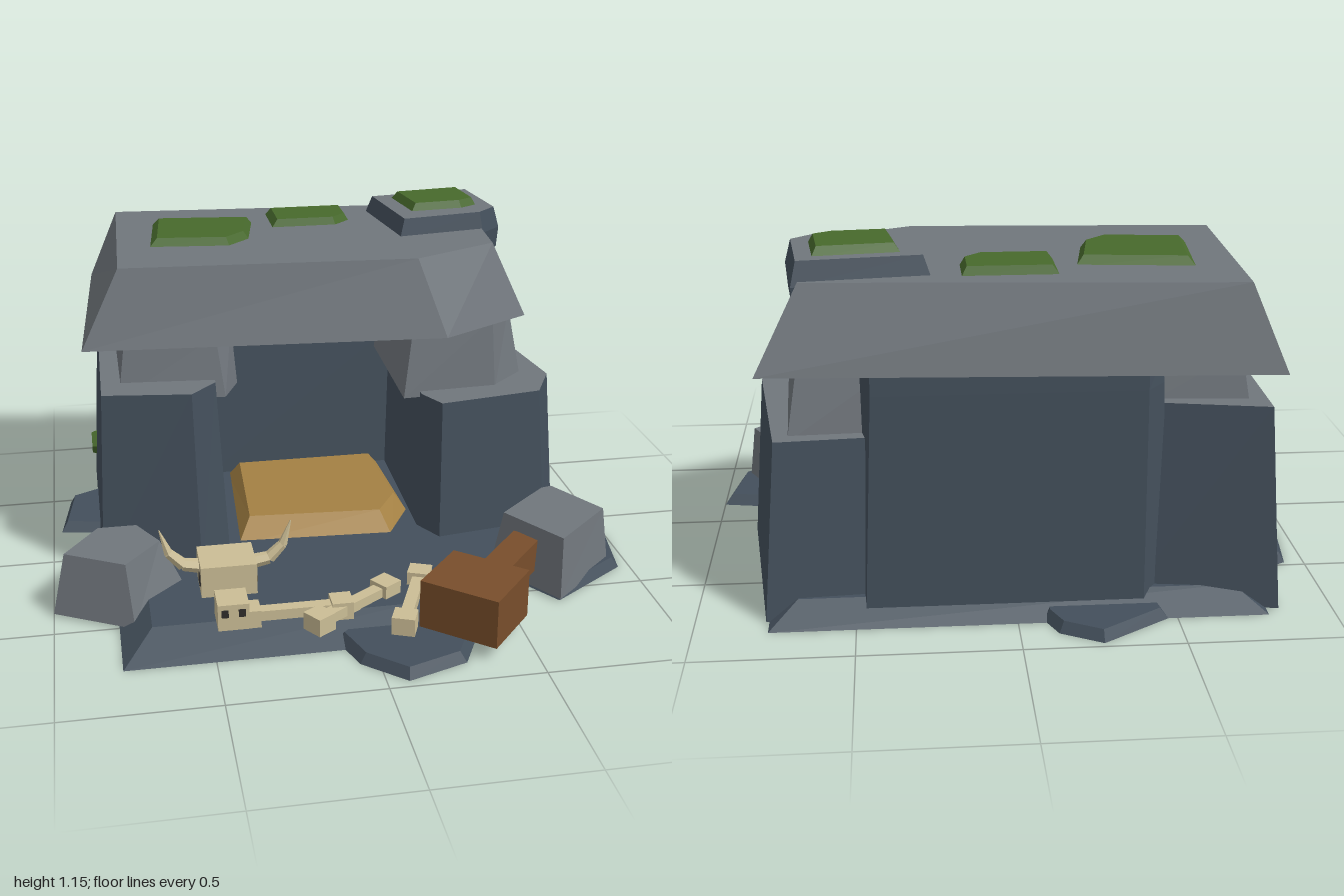
import * as THREE from 'three';

const mat = (name, color) => {
  const m = new THREE.MeshStandardMaterial({ color });
  m.name = name;
  return m;
};

export function createModel() {
  const root = new THREE.Group();
  root.name = 'stoneShelter';
  const slate = mat('slate', 0x434f5b), grey = mat('greyStone', 0x70767c), moss = mat('moss', 0x47692c);
  const straw = mat('straw', 0xa38043), wood = mat('wood', 0x784e2b), bone = mat('bone', 0xcbbd95);
  const dark = mat('socket', 0x2e2c2a);

  const add = (name, geo, material, parent = root) => {
    const m = new THREE.Mesh(geo, material);
    m.name = name;
    parent.add(m);
    return m;
  };

  // Faceted rock from stacked [y, ring of [x, z]] levels; the top face may have its own material
  const rock = (name, levels, side, top = side) => {
    const rings = levels.map(([y, ring]) => {
      const area = ring.reduce((s, p, i) => {
        const q = ring[(i + 1) % ring.length];
        return s + p[0] * q[1] - q[0] * p[1];
      }, 0);
      const r = area > 0 ? [...ring].reverse() : ring;
      return r.map(([x, z]) => [x, y, z]);
    });
    const pos = [], n = rings[0].length, last = rings[rings.length - 1];
    const tri = (...pts) => pts.forEach((p) => pos.push(...p));
    for (let k = 0; k < rings.length - 1; k++) {
      const a = rings[k], b = rings[k + 1];
      for (let i = 0; i < n; i++) {
        const j = (i + 1) % n;
        tri(a[i], a[j], b[j]);
        tri(a[i], b[j], b[i]);
      }
    }
    for (let i = 1; i < n - 1; i++) tri(rings[0][0], rings[0][i + 1], rings[0][i]);
    const split = pos.length / 3;
    for (let i = 1; i < n - 1; i++) tri(last[0], last[i], last[i + 1]);
    const g = new THREE.BufferGeometry();
    g.setAttribute('position', new THREE.Float32BufferAttribute(pos, 3));
    g.computeVertexNormals();
    g.addGroup(0, split, 0);
    g.addGroup(split, pos.length / 3 - split, 1);
    return add(name, g, [side, top]);
  };

  // Ring shrunk towards its middle
  const shrink = (ring, s) => {
    const c = [0, 1].map((k) => ring.reduce((t, p) => t + p[k], 0) / ring.length);
    return ring.map((p) => [c[0] + (p[0] - c[0]) * s, c[1] + (p[1] - c[1]) * s]);
  };

  // Ground slab with low ledges around it
  rock('floor', [
    [0, [[-0.79, 0.76], [0.2, 0.76], [0.56, 0.47], [0.77, 0.25], [0.77, -0.84], [-0.79, -0.84]]],
    [0.07, [[-0.69, 0.63], [0.16, 0.63], [0.5, 0.4], [0.68, 0.2], [0.68, -0.76], [-0.69, -0.76]]],
  ], slate);
  const ledges = [
    [[-0.11, 0.7], [-0.06, 0.85], [0.07, 0.97], [0.27, 0.9], [0.36, 0.72], [0.1, 0.5]],
    [[0.6, 0.2], [0.78, 0.11], [1, 0.15], [0.96, 0.39], [0.68, 0.58], [0.56, 0.4]],
    [[-0.97, -0.23], [-0.935, -0.48], [-0.82, -0.54], [-0.6, -0.5], [-0.6, -0.16]],
    [[-0.47, -0.84], [-0.25, -0.98], [-0.12, -0.91], [-0.08, -0.82], [-0.1, -0.6], [-0.45, -0.6]],
  ];
  ledges.forEach((r) => rock('ledge', [[0, r], [0.035, shrink(r, 0.88)]], slate));

  // Walls
  rock('rightPillar', [
    [0, [[-0.83, 0.13], [-0.49, 0.2], [-0.38, 0.1], [-0.34, -0.73], [-0.83, -0.8]]],
    [0.66, [[-0.8, 0.1], [-0.5, 0.14], [-0.41, 0.04], [-0.37, -0.67], [-0.79, -0.75]]],
  ], slate, grey);
  rock('leftPillar', [
    [0, [[0.3, 0.08], [0.36, 0.19], [0.77, 0.13], [0.865, -0.07], [0.78, -0.77], [0.31, -0.74]]],
    [0.565, [[0.32, 0.04], [0.37, 0.14], [0.74, 0.08], [0.82, -0.08], [0.74, -0.69], [0.33, -0.66]]],
  ], slate, grey);
  rock('backWall', [
    [0, [[-0.48, -0.5], [0.5, -0.5], [0.47, -0.79], [-0.4, -0.79], [-0.48, -0.7]]],
    [0.73, [[-0.46, -0.56], [0.48, -0.56], [0.44, -0.765], [-0.4, -0.765], [-0.46, -0.69]]],
    [0.81, [[-0.45, -0.6], [0.47, -0.6], [0.44, -0.76], [-0.4, -0.76], [-0.45, -0.69]]],
  ], slate);

  // Blocks between the pillars and the roof
  rock('rightCapBlock', [
    [0.6, [[-0.74, 0.0], [-0.375, 0.03], [-0.32, -0.1], [-0.34, -0.65], [-0.74, -0.68]]],
    [0.81, [[-0.71, -0.03], [-0.4, -0.01], [-0.335, -0.12], [-0.36, -0.61], [-0.71, -0.64]]],
  ], grey);
  rock('leftCapBlock', [
    [0.545, [[0.26, 0.02], [0.6, 0.0], [0.73, -0.12], [0.7, -0.64], [0.27, -0.62]]],
    [0.81, [[0.3, -0.02], [0.59, -0.03], [0.68, -0.14], [0.66, -0.58], [0.3, -0.58]]],
  ], grey);

  // Roof slab and the boulder on it
  rock('roof', [
    [0.8, [[-0.855, 0.045], [0.385, 0.125], [0.72, -0.07], [0.78, -0.775], [-0.8, -0.86]]],
    [1.065, [[-0.72, -0.015], [0.295, 0.045], [0.6, -0.105], [0.645, -0.69], [-0.695, -0.785]]],
  ], grey);
  const boulder = [[0.245, -0.635], [0.665, -0.69], [0.7, -0.37], [0.62, -0.295], [0.295, -0.24]];
  rock('roofBoulder', [
    [0.975, shrink(boulder, 0.97)], [1.05, boulder], [1.125, shrink(boulder, 0.9)],
  ], slate, grey);

  // Moss patches
  const patches = [
    [1.06, [[-0.57, -0.58], [-0.2, -0.54], [-0.24, -0.31], [-0.32, -0.23], [-0.6, -0.26]]],
    [1.06, [[-0.14, -0.65], [0.16, -0.65], [0.16, -0.51], [0.1, -0.45], [-0.14, -0.45]]],
    [1.12, [[0.335, -0.58], [0.605, -0.615], [0.625, -0.42], [0.56, -0.38], [0.365, -0.36]]],
  ];
  patches.forEach(([y, r]) => rock('mossPatch', [[y, r], [y + 0.032, shrink(r, 0.86)]], moss));
  const tuft = add('mossTuft', new THREE.CylinderGeometry(0.04, 0.05, 0.03, 6).toNonIndexed(), moss);
  tuft.geometry.computeVertexNormals();
  tuft.rotation.z = Math.PI / 2;
  tuft.position.set(-0.825, 0.17, -0.66);

  // Rocks beside the entrance
  rock('rightFrontRock', [
    [0.01, [[-1, 0.385], [-0.74, 0.53], [-0.545, 0.34], [-0.68, 0.14], [-0.84, 0.15]]],
    [0.22, [[-0.955, 0.37], [-0.76, 0.48], [-0.64, 0.33], [-0.71, 0.2], [-0.84, 0.2]]],
  ], grey);
  rock('leftFrontRock', [
    [0.01, [[0.51, 0.32], [0.68, 0.59], [0.925, 0.37], [0.79, 0.12], [0.74, 0.13]]],
    [0.22, [[0.55, 0.33], [0.69, 0.555], [0.9, 0.36], [0.78, 0.15], [0.74, 0.16]]],
  ], grey);

  // Straw bed
  rock('strawBed', [
    [0.06, [[-0.35, 0.1], [0.2, 0.13], [0.3, -0.05], [0.28, -0.5], [-0.32, -0.5]]],
    [0.13, [[-0.3, 0.02], [0.17, 0.05], [0.25, -0.08], [0.23, -0.45], [-0.28, -0.45]]],
  ], straw);

  const box = (name, w, h, d, x, y, z, m, parent) => {
    const b = add(name, new THREE.BoxGeometry(w, h, d), m, parent);
    b.position.set(x, y, z);
    return b;
  };

  // Wooden mallet
  const mallet = new THREE.Group();
  mallet.name = 'mallet';
  mallet.position.set(0.335, 0, 0.735);
  mallet.rotation.y = -0.71;
  root.add(mallet);
  box('malletHead', 0.27, 0.165, 0.24, 0, 0.13, 0, wood, mallet);
  box('malletHandle', 0.1, 0.11, 0.32, 0, 0.12, -0.26, wood, mallet);

  // Horned skull
  const skull = new THREE.Group();
  skull.name = 'skull';
  skull.position.set(-0.437, 0, 0.52);
  root.add(skull);
  box('cranium', 0.18, 0.105, 0.155, 0, 0.193, 0, bone, skull);
  box('snout', 0.1, 0.09, 0.11, 0, 0.12, 0.127, bone, skull);
  const up = new THREE.Vector3(0, 1, 0);
  for (const s of [-1, 1]) {
    box('socket', 0.022, 0.026, 0.005, s * 0.027, 0.135, 0.183, dark, skull);
    box('sideSocket', 0.005, 0.035, 0.035, s * 0.091, 0.19, 0.04, dark, skull);
    const path = [[0.08, 0.21], [0.14, 0.22], [0.185, 0.265], [0.212, 0.348]];
    const radii = [0.024, 0.021, 0.016, 0.002];
    for (let i = 0; i < 3; i++) {
      const a = new THREE.Vector3(s * path[i][0], path[i][1], -0.01);
      const b = new THREE.Vector3(s * path[i + 1][0], path[i + 1][1], -0.01);
      const g = new THREE.CylinderGeometry(radii[i + 1], radii[i], a.distanceTo(b), 6).toNonIndexed();
      g.computeVertexNormals();
      const horn = add('horn', g, bone, skull);
      horn.position.copy(a).lerp(b, 0.5);
      horn.quaternion.setFromUnitVectors(up, b.sub(a).normalize());
    }
  }

  // Scattered bones
  const bones = [[-0.38, 0.63, -0.08, 0.63], [-0.165, 0.71, 0.085, 0.54], [0.1, 0.765, 0.215, 0.485]];
  for (const [x0, z0, x1, z1] of bones) {
    const g = new THREE.Group();
    g.name = 'bone';
    g.position.set((x0 + x1) / 2, 0.085, (z0 + z1) / 2);
    g.rotation.y = -Math.atan2(z1 - z0, x1 - x0);
    root.add(g);
    const len = Math.hypot(x1 - x0, z1 - z0);
    box('shaft', len, 0.035, 0.04, 0, 0, 0, bone, g);
    for (const s of [-1, 1]) box('knuckle', 0.07, 0.06, 0.075, s * len / 2, 0, 0, bone, g);
  }
  return root;
}
